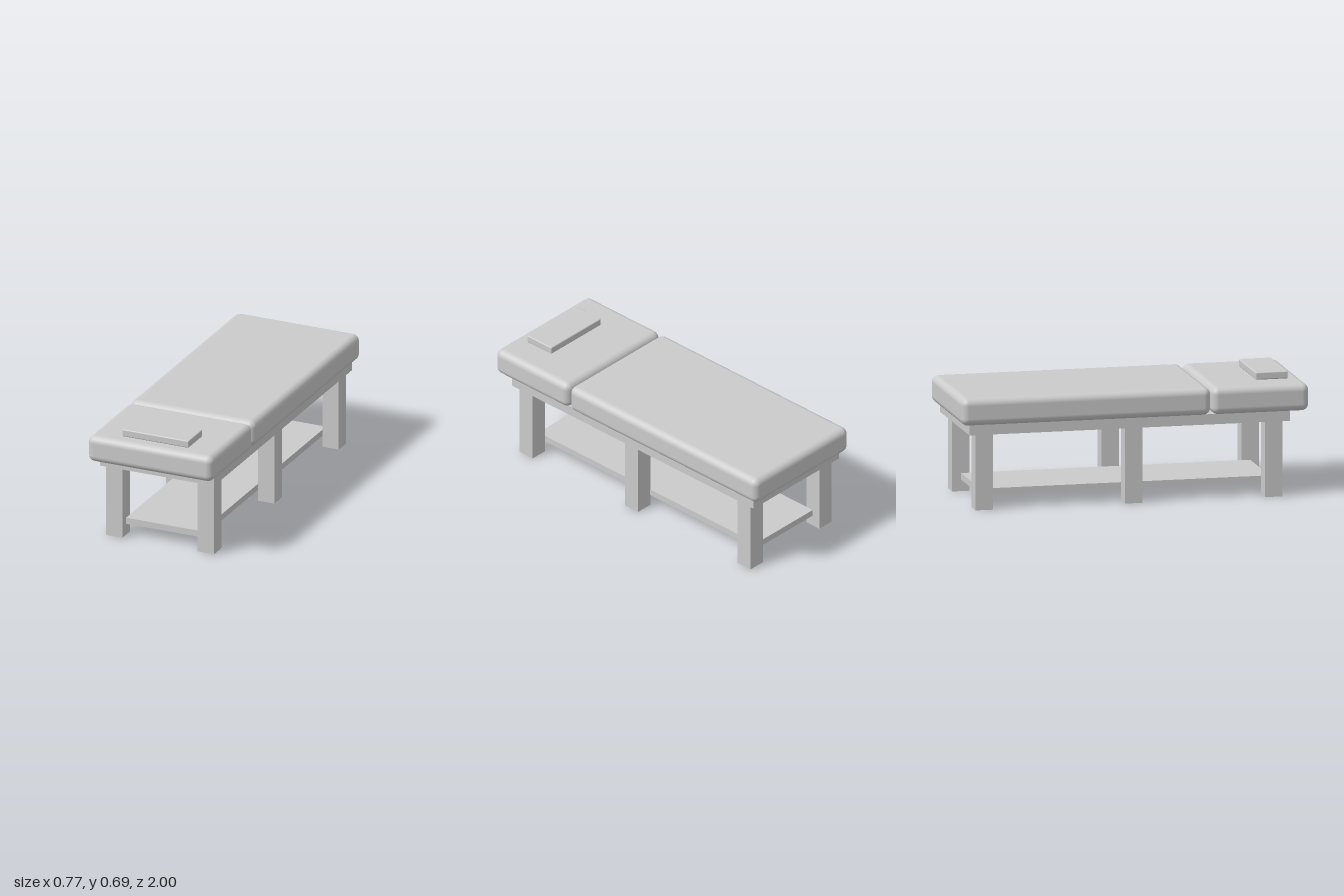
import * as THREE from 'three';
import { RoundedBoxGeometry } from 'three/addons/geometries/RoundedBoxGeometry.js';

const material = new THREE.MeshStandardMaterial({ color: 0xcccccc });

// Box spanning y0..y1 and z0..z1, centred on x; a radius rounds its edges
function block(name, width, y0, y1, z0, z1, radius = 0, x = 0) {
  const h = y1 - y0, d = z1 - z0;
  const geometry = radius > 0
    ? new RoundedBoxGeometry(width, h, d, 6, radius)
    : new THREE.BoxGeometry(width, h, d);
  const mesh = new THREE.Mesh(geometry, material);
  mesh.name = name;
  mesh.position.set(x, (y0 + y1) / 2, (z0 + z1) / 2);
  return mesh;
}

export function createModel() {
  const table = new THREE.Group();
  table.name = 'massageTable';

  // Padded top in two sections, with a small pillow on the head section
  table.add(block('bodyCushion', 0.77, 0.49, 0.645, -1, 0.435, 0.04));
  table.add(block('headCushion', 0.77, 0.49, 0.645, 0.44, 1, 0.04));
  table.add(block('pillow', 0.41, 0.645, 0.688, 0.732, 0.918, 0.007));

  // Solid bed frame and lower shelf
  table.add(block('bedFrame', 0.704, 0.433, 0.492, -0.951, 0.895));
  table.add(block('lowerShelf', 0.466, 0.066, 0.103, -0.86, 0.805));

  // Three pairs of square legs
  const legs = new THREE.Group();
  legs.name = 'legs';
  for (const z of [0.805, 0, -0.861]) {
    for (const side of [1, -1]) {
      legs.add(block(side > 0 ? 'leftLeg' : 'rightLeg', 0.101, 0, 0.434, z - 0.05, z + 0.05, 0, side * 0.283));
    }
  }
  table.add(legs);
  return table;
}
